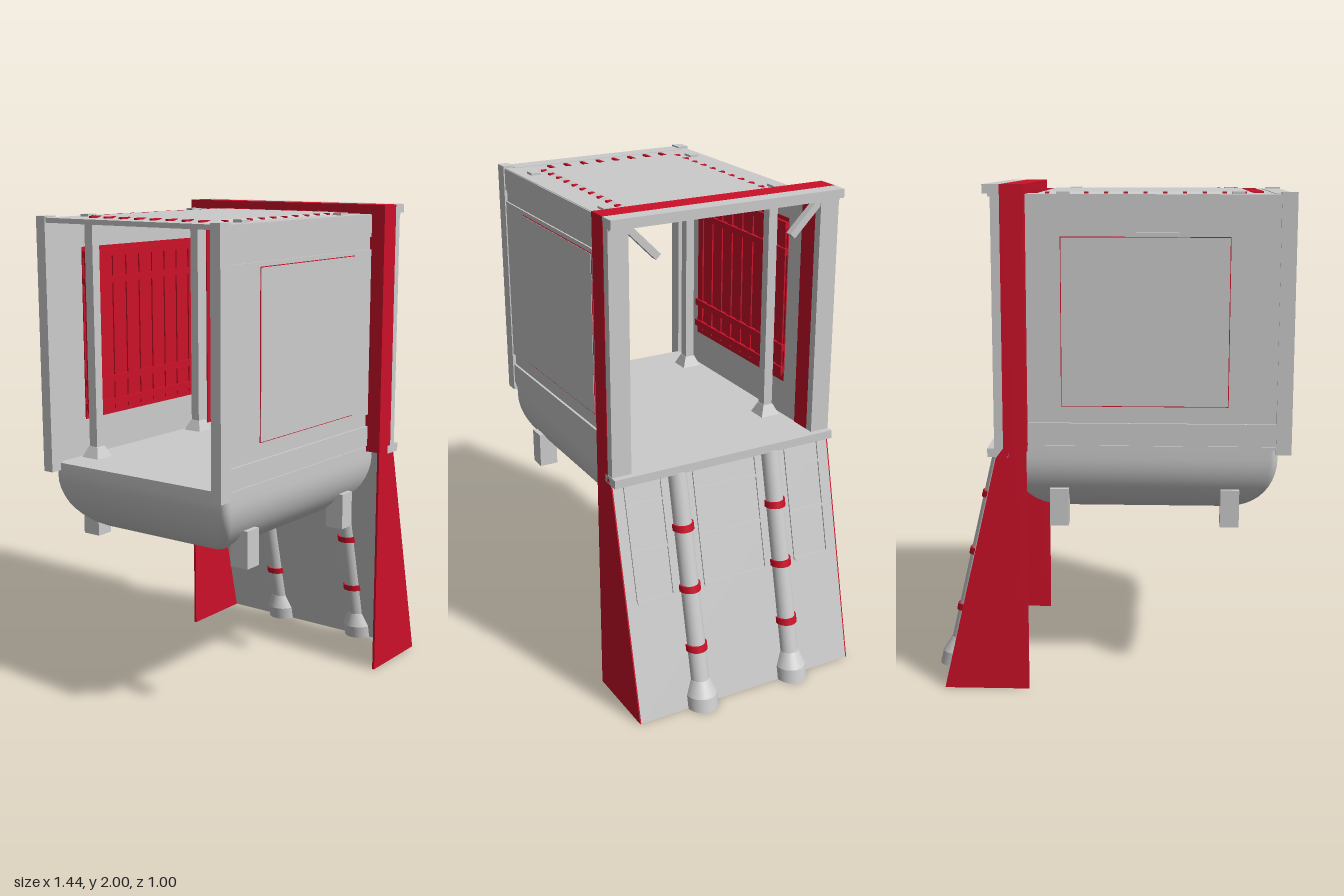
import * as THREE from 'three';

const grey = new THREE.MeshStandardMaterial({ color: 0xcccccc });
const red = new THREE.MeshStandardMaterial({ color: 0xcc1028 });
const SLOPE = 0.232;

export function createModel() {
  const model = new THREE.Group();

  const add = (name, geo, mat = grey) => {
    const mesh = new THREE.Mesh(geo, mat);
    mesh.name = name;
    model.add(mesh);
    return mesh;
  };

  // box given by its extents on each axis
  const boxGeo = (x0, x1, y0, y1, z0, z1) =>
    new THREE.BoxGeometry(x1 - x0, y1 - y0, z1 - z0)
      .translate((x0 + x1) / 2, (y0 + y1) / 2, (z0 + z1) / 2);
  const box = (name, x0, x1, y0, y1, z0, z1, mat) => add(name, boxGeo(x0, x1, y0, y1, z0, z1), mat);

  // the same box on both sides of the cabin
  const pair = (name, x0, x1, y0, y1, z0, z1, mat) => {
    box(name + 'Left', x0, x1, y0, y1, z0, z1, mat);
    box(name + 'Right', x0, x1, y0, y1, -z1, -z0, mat);
  };

  // box whose top face is drawn in by an inset
  const tapered = (name, cx, cz, w, d, y0, y1, inset) => {
    const g = new THREE.BoxGeometry(w, y1 - y0, d).toNonIndexed();
    const p = g.attributes.position;
    for (let i = 0; i < p.count; i++) {
      if (p.getY(i) > 0) {
        p.setX(i, p.getX(i) - Math.sign(p.getX(i)) * inset);
        p.setZ(i, p.getZ(i) - Math.sign(p.getZ(i)) * inset);
      }
    }
    g.computeVertexNormals();
    add(name, g.translate(cx, (y0 + y1) / 2, cz));
  };

  // lean a shape along the sloping ramp
  const lean = (g) => {
    const p = g.attributes.position;
    for (let i = 0; i < p.count; i++) p.setX(i, p.getX(i) + 0.43 + SLOPE * (0.95 - p.getY(i)));
    g.computeVertexNormals();
    return g;
  };

  // rounded tub under the floor, from shrinking rounded rectangles
  const hull = () => {
    const pos = [], idx = [];
    const rings = [[0, 0.985]];
    for (let i = 0; i <= 12; i++) {
      const a = (i / 12) * Math.PI / 2;
      rings.push([0.22 * (1 - Math.cos(a)), 0.94 - 0.24 * Math.sin(a)]);
    }
    const n = 24, r = 0.03;
    for (const [inset, y] of rings) {
      const hx = 0.525 - inset - r, hz = 0.435 - inset - r;
      for (let k = 0; k < n; k++) {
        const c = Math.floor(k / 6);
        const a = (c + (k % 6) / 5) * Math.PI / 2;
        const sx = c === 0 || c === 3 ? 1 : -1, sz = c < 2 ? 1 : -1;
        pos.push(-0.145 + sx * hx + r * Math.cos(a), y, sz * hz + r * Math.sin(a));
      }
    }
    for (let i = 0; i < rings.length - 1; i++) {
      for (let k = 0; k < n; k++) {
        const a = i * n + k, b = i * n + (k + 1) % n;
        idx.push(a, b, a + n, b, b + n, a + n);
      }
    }
    const last = (rings.length - 1) * n;
    for (let k = 1; k < n - 1; k++) idx.push(last, last + k, last + k + 1);
    const g = new THREE.BufferGeometry();
    g.setAttribute('position', new THREE.Float32BufferAttribute(pos, 3));
    g.setIndex(idx);
    g.computeVertexNormals();
    return g;
  };
  const hullMesh = add('hull', hull());
  hullMesh.material = grey.clone();
  hullMesh.material.side = THREE.DoubleSide;
  box('floor', -0.67, 0.42, 0.975, 0.99, -0.435, 0.435);
  for (const x of [-0.485, 0.19]) pair('hullFoot', x - 0.037, x + 0.037, 0.66, 0.81, 0.34, 0.42);

  // side walls: recessed core with stepped rails outside and a framed panel
  pair('wallCore', -0.66, 0.31, 0.99, 1.96, 0.418, 0.43);
  pair('wallTopRail', -0.66, 0.31, 1.87, 1.96, 0.43, 0.44);
  pair('wallUpperGroove', -0.66, 0.31, 1.82, 1.87, 0.43, 0.433);
  pair('wallMiddle', -0.66, 0.31, 1.13, 1.82, 0.43, 0.44);
  pair('wallBottomRail', -0.66, 0.31, 0.995, 1.08, 0.43, 0.44);
  pair('panelTrim', -0.473, 0.178, 1.147, 1.803, 0.435, 0.442, red);
  pair('wallPanel', -0.47, 0.175, 1.15, 1.8, 0.44, 0.444);

  // red lining inside the walls: backing, slats and rails
  pair('lining', -0.5, 0.22, 1.14, 1.84, 0.414, 0.419, red);
  for (let i = 0; i < 9; i++) {
    const x = -0.47 + i * 0.0825;
    pair('liningSlat', x - 0.02, x + 0.02, 1.16, 1.8, 0.408, 0.415, red);
  }
  for (const y of [1.19, 1.29, 1.7, 1.81]) pair('liningRail', -0.5, 0.22, y - 0.014, y + 0.014, 0.4, 0.414, red);

  // rear corner posts and rear roof beam
  pair('rearPost', -0.72, -0.66, 0.96, 1.97, 0.4, 0.445);
  box('rearBeam', -0.715, -0.64, 1.945, 1.964, -0.4, 0.4);

  // roof sheet with its opening
  const roof = new THREE.Shape([[-0.66, -0.435], [0.31, -0.435], [0.31, 0.435], [-0.66, 0.435]]
    .map(([x, z]) => new THREE.Vector2(x, z)));
  roof.holes.push(new THREE.Path([[-0.56, -0.32], [-0.56, 0.32], [0.27, 0.32], [0.27, -0.32]]
    .map(([x, z]) => new THREE.Vector2(x, z))));
  add('roof', new THREE.ExtrudeGeometry(roof, { depth: 0.01, bevelEnabled: false })
    .rotateX(-Math.PI / 2).translate(0, 1.952, 0));
  tapered('roofHatch', -0.145, 0, 0.85, 0.66, 1.961, 1.969, 0.028);

  // red lattice under the hatch, its ends showing at the rim
  for (let i = 0; i < 8; i++) {
    const z = -0.27 + i * 0.076;
    box('latticeBar', -0.56, 0.27, 1.948, 1.957, z - 0.008, z + 0.008, red);
    for (const x of [-0.575, 0.285]) box('latticeEnd', x - 0.028, x + 0.028, 1.955, 1.969, z - 0.007, z + 0.007, red);
  }
  for (let i = 0; i < 11; i++) {
    const x = -0.525 + i * 0.076;
    box('latticeCrossBar', x - 0.008, x + 0.008, 1.945, 1.954, -0.32, 0.32, red);
    pair('latticeCrossEnd', x - 0.008, x + 0.008, 1.955, 1.969, 0.307, 0.329, red);
  }

  // four slim inner posts with flared feet and roof clamps
  for (const x of [-0.5, 0.17]) {
    pair('innerPost', x - 0.02, x + 0.02, 0.99, 1.955, 0.34, 0.38);
    pair('roofClamp', x - 0.025, x + 0.025, 1.958, 1.971, 0.355, 0.395);
    for (const s of [-1, 1]) tapered('innerPostFoot', x, s * 0.36, 0.085, 0.085, 0.99, 1.035, 0.02);
  }

  // red doorway arch; its side plates widen below the floor
  const side = new THREE.Shape([[0.31, 0], [0.65, 0], [0.43, 0.95], [0.4, 0.99], [0.4, 2], [0.31, 2]]
    .map(([x, y]) => new THREE.Vector2(x, y)));
  for (const z of [0.49, -0.5]) {
    add('archSide', new THREE.ExtrudeGeometry(side, { depth: 0.01, bevelEnabled: false }).translate(0, 0, z), red);
  }
  pair('archColumn', 0.311, 0.4, 0.97, 1.96, 0.415, 0.495, red);
  box('archTop', 0.311, 0.4, 1.957, 2, -0.495, 0.495, red);

  // grey door frame with corner braces
  pair('doorPost', 0.4, 0.435, 0.98, 1.965, 0.415, 0.498);
  box('doorLintel', 0.4, 0.465, 1.965, 2, -0.5, 0.5);
  box('doorLintelLip', 0.4, 0.445, 1.955, 1.966, -0.495, 0.495);
  box('doorSill', 0.38, 0.462, 0.955, 0.99, -0.5, 0.5);
  for (const s of [-1, 1]) {
    const brace = add('doorBrace', new THREE.BoxGeometry(0.03, 0.18, 0.028));
    brace.position.set(0.417, 1.895, s * 0.355);
    brace.rotation.x = s * Math.PI / 4;
  }

  // sloping ramp with thin ribs
  add('ramp', lean(boxGeo(-0.012, 0, 0, 0.96, -0.495, 0.495)));
  const rib = (y0, y1, z0, z1) => add('rampRib', lean(boxGeo(-0.002, 0.006, y0, y1, z0, z1)));
  for (const s of [-1, 1]) {
    for (const z of [0.447, 0.287, 0.143]) rib(0.48, 0.955, s * z - 0.004, s * z + 0.004);
  }
  for (const y of [0.48, 0.68, 0.865]) {
    for (const [a, b] of [[-0.447, -0.287], [-0.143, 0.143], [0.287, 0.447]]) rib(y - 0.005, y + 0.005, a, b);
  }

  // leaning pipes with red bands and flared feet
  for (const z of [-0.215, 0.215]) {
    const pipe = (name, r0, r1, y0, y1, mat) => add(name,
      lean(new THREE.CylinderGeometry(r1, r0, y1 - y0, 28).translate(0, (y0 + y1) / 2, z)), mat);
    pipe('pipe', 0.039, 0.039, 0.1, 0.96);
    pipe('pipeFoot', 0.065, 0.065, 0, 0.055);
    pipe('pipeFootTaper', 0.065, 0.04, 0.055, 0.115);
    for (const y of [0.25, 0.495, 0.74]) pipe('pipeBand', 0.046, 0.046, y - 0.013, y + 0.013, red);
  }

  return model;
}
